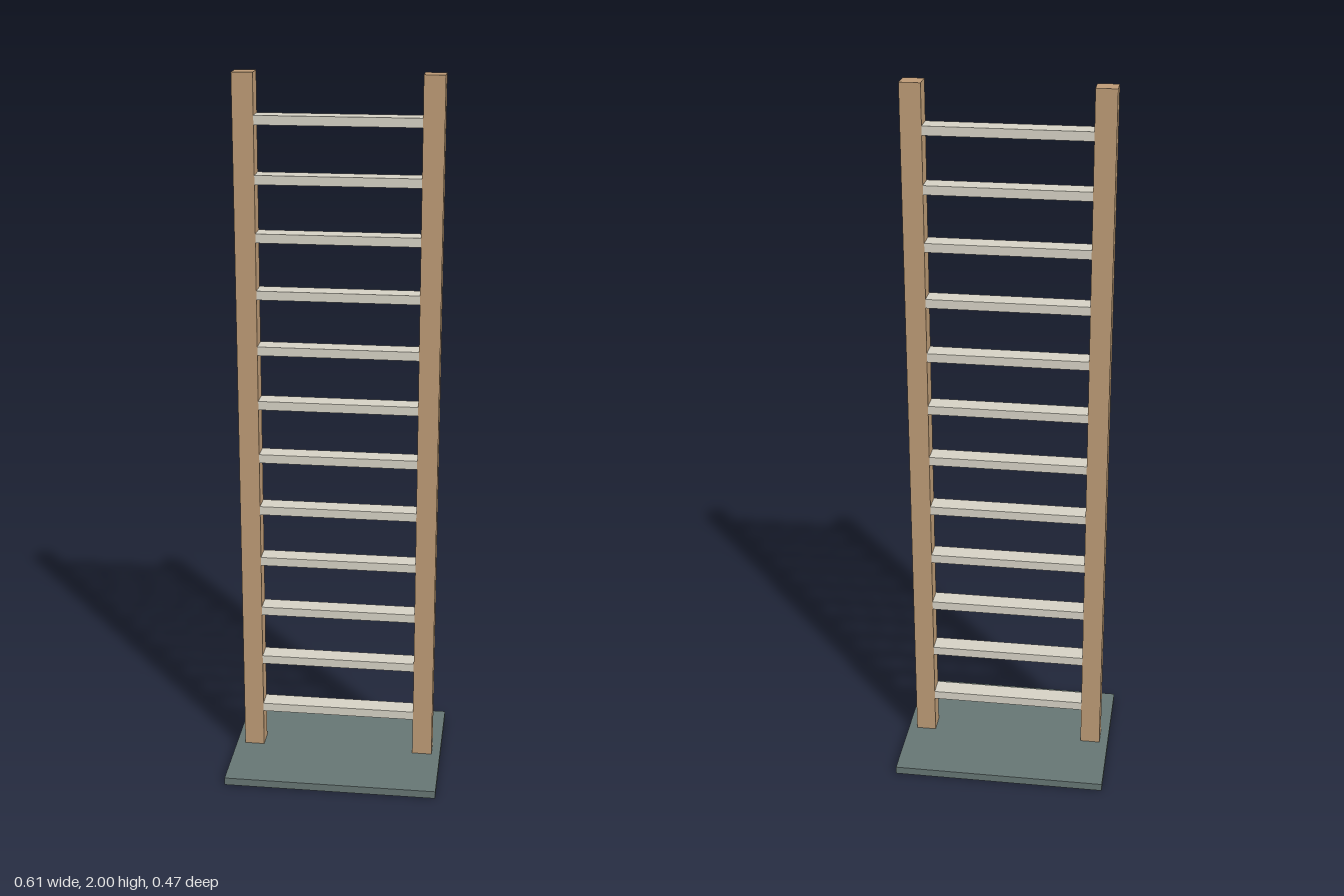
import * as THREE from 'three';

export function createModel() {
  const group = new THREE.Group();
  const wood = new THREE.MeshStandardMaterial({ color: 0xbc9a75 });
  const pale = new THREE.MeshStandardMaterial({ color: 0xd5d1c4 });
  const slate = new THREE.MeshStandardMaterial({ color: 0x667573 });

  const addBox = (name, material, w, h, d, x, y) => {
    const mesh = new THREE.Mesh(new THREE.BoxGeometry(w, h, d), material);
    mesh.name = name;
    mesh.position.set(x, y, 0);
    group.add(mesh);
  };

  const depth = 0.056, postWidth = 0.057, postX = 0.251;

  // Base plate
  addBox('basePlate', slate, 0.609, 0.022, 0.466, 0, 0.011);

  // Upright posts, running through the plate to the ground
  addBox('leftPost', wood, postWidth, 2, depth, postX, 1);
  addBox('rightPost', wood, postWidth, 2, depth, -postX, 1);

  // Evenly spaced rungs between the posts
  const count = 12, first = 0.146, last = 1.877;
  for (let i = 0; i < count; i++) {
    const y = first + (last - first) * i / (count - 1);
    addBox(`rung${i + 1}`, pale, 2 * postX - postWidth, 0.025, depth, 0, y);
  }
  return group;
}
